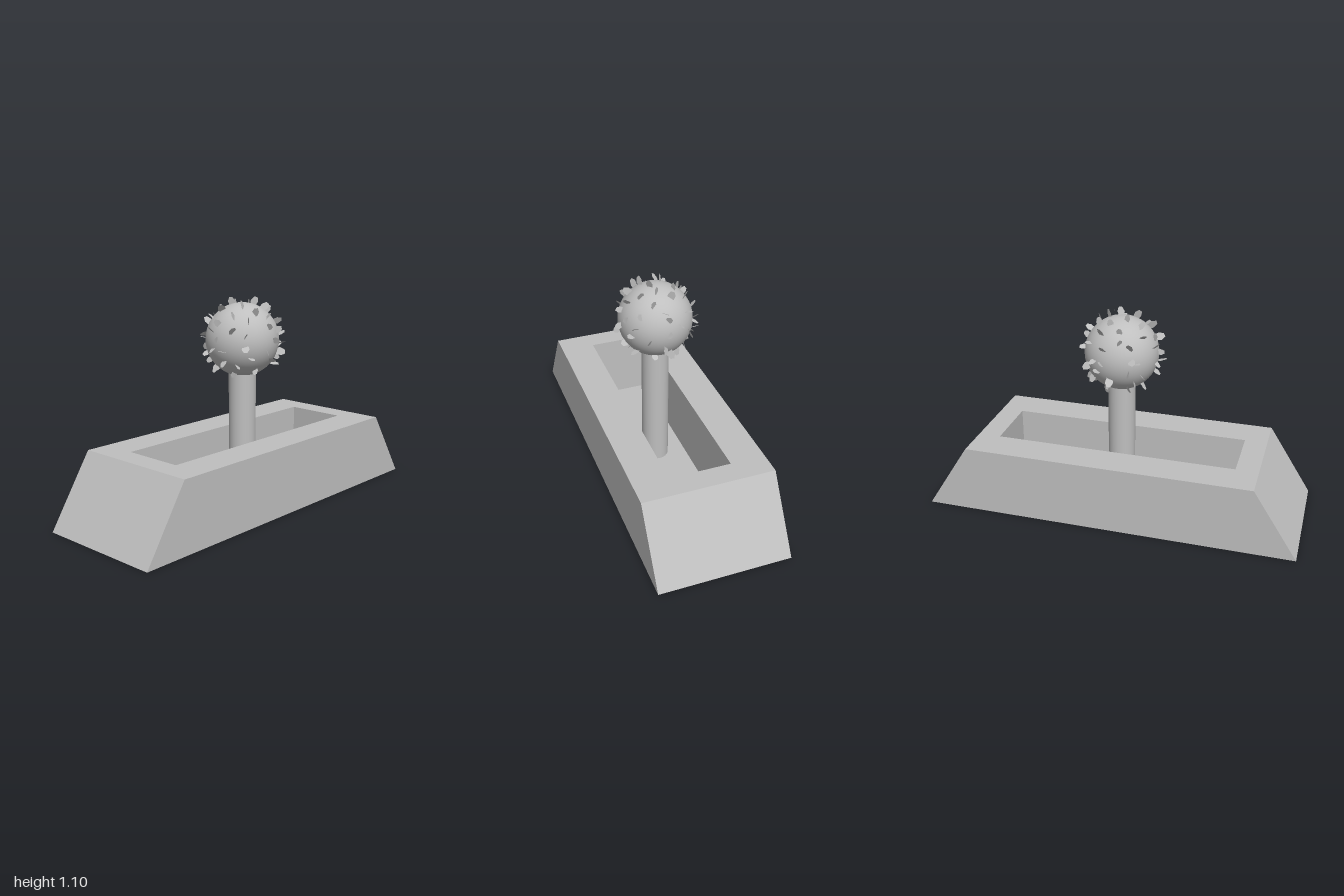
import * as THREE from 'three';

const BASE_H = 0.368, BALL_R = 0.193, BALL_Y = 0.875, FLOOR = 0.006;

function rect(PathType, w, d) {
  return new PathType([[-w, -d], [w, -d], [w, d], [-w, d]].map(([x, y]) => new THREE.Vector2(x, y)));
}

// Seeded random numbers in 0..1
function seeded(seed) {
  return () => (seed = (seed * 16807) % 2147483647) / 2147483647;
}

// Block with a long slot, its two ends leaning inwards
function baseGeometry() {
  const shape = rect(THREE.Shape, 0.346, 1);
  shape.holes.push(rect(THREE.Path, 0.162, 0.645));
  const geo = new THREE.ExtrudeGeometry(shape, { depth: BASE_H, bevelEnabled: false });
  geo.rotateX(-Math.PI / 2);
  const p = geo.attributes.position;
  for (let i = 0; i < p.count; i++) {
    if (Math.abs(p.getZ(i)) > 0.9 && p.getY(i) > 0.1) p.setZ(i, Math.sign(p.getZ(i)) * 0.765);
  }
  geo.computeVertexNormals();
  return geo;
}

// Flat tongue with a blunt tip, growing along +y
function flakeGeometry() {
  const points = [[-0.013, 0], [0.013, 0], [0.021, 0.026], [0.012, 0.05], [-0.006, 0.054], [-0.018, 0.034]];
  return new THREE.ShapeGeometry(new THREE.Shape(points.map(([x, y]) => new THREE.Vector2(x, y))));
}

export function createModel() {
  const model = new THREE.Group();
  const grey = new THREE.MeshStandardMaterial({ color: 0xbfbfbf, side: THREE.DoubleSide });
  grey.name = 'plain grey';

  const add = (name, geo, y, parent = model) => {
    const mesh = new THREE.Mesh(geo, grey);
    mesh.name = name;
    mesh.position.y = y;
    parent.add(mesh);
    return mesh;
  };

  add('slottedBase', baseGeometry(), 0);
  add('slotFloor', new THREE.BoxGeometry(0.324, FLOOR, 1.29), FLOOR / 2);

  // Lever
  const stemTop = 0.72;
  add('stem', new THREE.CylinderGeometry(0.072, 0.072, stemTop - FLOOR, 32), (stemTop + FLOOR) / 2);
  add('ball', new THREE.SphereGeometry(BALL_R, 48, 32), BALL_Y);

  // Flakes scattered evenly over the ball, each twisted and tilted
  const flakes = new THREE.Group();
  flakes.name = 'flakes';
  flakes.position.y = BALL_Y;
  model.add(flakes);
  const rand = seeded(4127), geo = flakeGeometry(), up = new THREE.Vector3(0, 1, 0);
  const count = 68;
  for (let i = 0; i < count; i++) {
    const y = 0.985 - 1.83 * (i / (count - 1));
    const angle = i * 2.39996 + (rand() - 0.5) * 0.5;
    const r = Math.sqrt(1 - y * y);
    const dir = new THREE.Vector3(r * Math.cos(angle), y, r * Math.sin(angle));
    const flake = add('flake', geo, 0, flakes);
    flake.position.copy(dir).multiplyScalar(BALL_R - 0.012);
    flake.quaternion.setFromUnitVectors(up, dir);
    flake.rotateY(rand() * Math.PI * 2);
    flake.rotateX((rand() - 0.5) * 1.4);
    flake.rotateZ((rand() - 0.5) * 0.6);
    flake.scale.setScalar(0.8 + rand() * 0.3);
  }
  return model;
}
